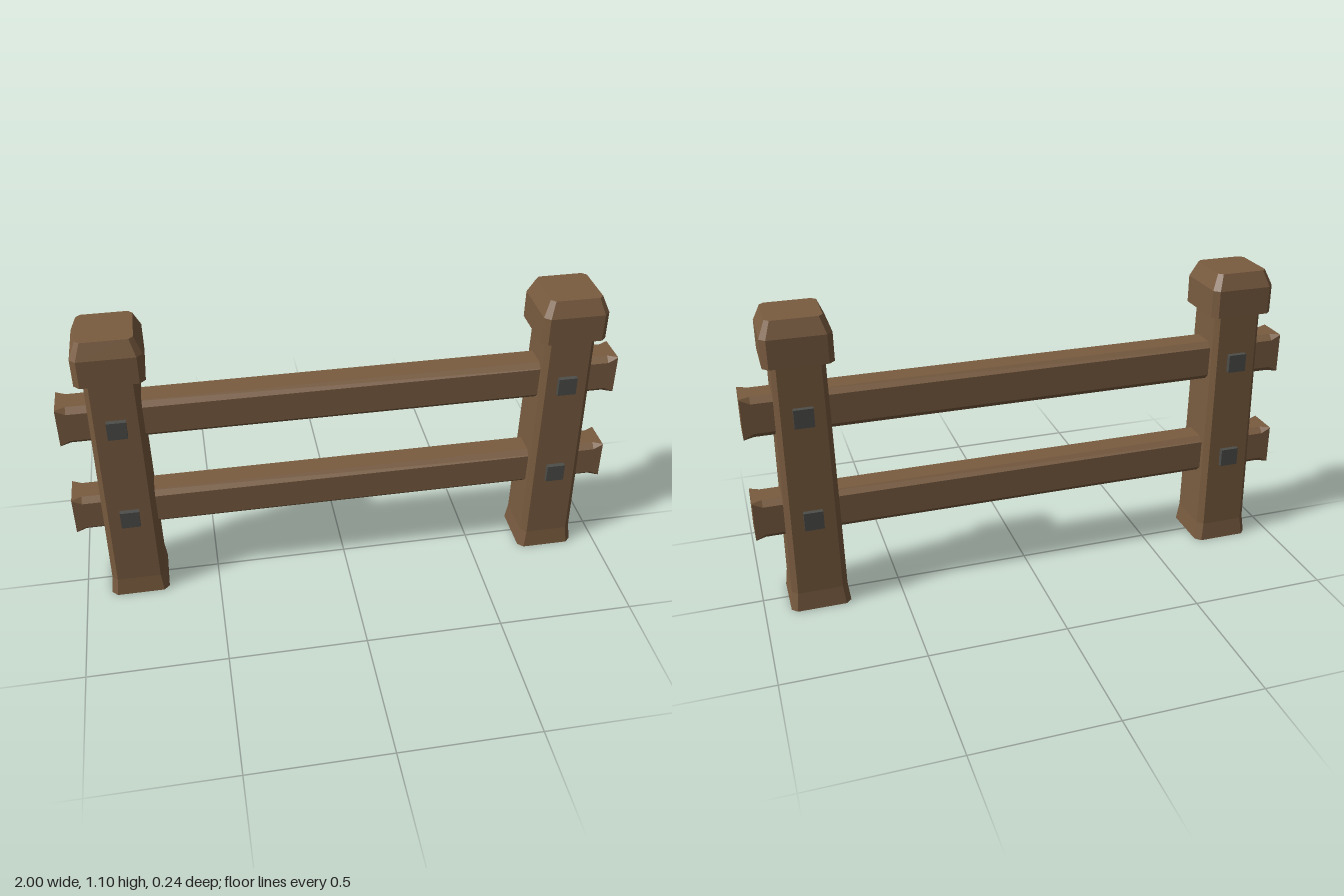
import * as THREE from 'three';

// Loft of chamfered rectangles along y; each section is [y, halfX, halfZ, chamfer]
function chamferLoft(sections) {
  const rings = sections.map(([y, a, b, c]) => [
    [a, b - c], [a - c, b], [c - a, b], [-a, b - c],
    [-a, c - b], [c - a, -b], [a - c, -b], [a, c - b],
  ].map(([x, z]) => [x, y, z]));
  const pos = [];
  const tri = (p, q, r) => pos.push(...p, ...q, ...r);
  for (let s = 0; s < rings.length - 1; s++) {
    const lo = rings[s], hi = rings[s + 1];
    for (let i = 0; i < 8; i++) {
      const j = (i + 1) % 8;
      tri(lo[i], hi[i], lo[j]);
      tri(lo[j], hi[i], hi[j]);
    }
  }
  const bottom = rings[0], top = rings[rings.length - 1];
  for (let i = 1; i < 7; i++) {
    tri(bottom[0], bottom[i], bottom[i + 1]);
    tri(top[0], top[i + 1], top[i]);
  }
  const geo = new THREE.BufferGeometry();
  geo.setAttribute('position', new THREE.Float32BufferAttribute(pos, 3));
  geo.computeVertexNormals();
  return geo;
}

export function createModel() {
  const wood = new THREE.MeshStandardMaterial({ name: 'brown wood', color: 0x7a5c40 });
  const iron = new THREE.MeshStandardMaterial({ name: 'dark iron', color: 0x4d4d4a });
  const model = new THREE.Group();
  model.name = 'fence';

  const add = (parent, name, geo, mat, x = 0, y = 0, z = 0) => {
    const mesh = new THREE.Mesh(geo, mat);
    mesh.name = name;
    mesh.position.set(x, y, z);
    parent.add(mesh);
  };

  // Tapered post with a flared foot, and its overhanging cap
  const postGeo = chamferLoft([
    [0, 0.108, 0.108, 0.02], [0.07, 0.1, 0.1, 0.02], [0.95, 0.09, 0.09, 0.016],
  ]);
  const capGeo = chamferLoft([
    [0.942, 0.118, 0.118, 0.02], [1.043, 0.118, 0.118, 0.02], [1.1, 0.094, 0.094, 0.015],
  ]);
  const boltGeo = new THREE.BoxGeometry(0.068, 0.068, 0.04);

  // Rail with stopped chamfers that run out to square ends
  const railGeo = chamferLoft([
    [-1, 0.074, 0.06, 0.002], [-0.965, 0.074, 0.06, 0.02],
    [0.965, 0.074, 0.06, 0.02], [1, 0.074, 0.06, 0.002],
  ]).rotateZ(Math.PI / 2);

  const rails = [
    { name: 'lowerRail', y: 0.363, boltZ: 0.094 },
    { name: 'upperRail', y: 0.753, boltZ: 0.09 },
  ];

  for (const side of [-1, 1]) {
    const post = new THREE.Group();
    post.name = side > 0 ? 'leftPost' : 'rightPost';
    post.position.x = 0.8 * side;
    add(post, 'post', postGeo, wood);
    add(post, 'postCap', capGeo, wood);
    for (const { y, boltZ } of rails) {
      for (const face of [-1, 1]) add(post, 'bolt', boltGeo, iron, 0, y, boltZ * face);
    }
    model.add(post);
  }
  for (const { name, y } of rails) add(model, name, railGeo, wood, 0, y);

  return model;
}
